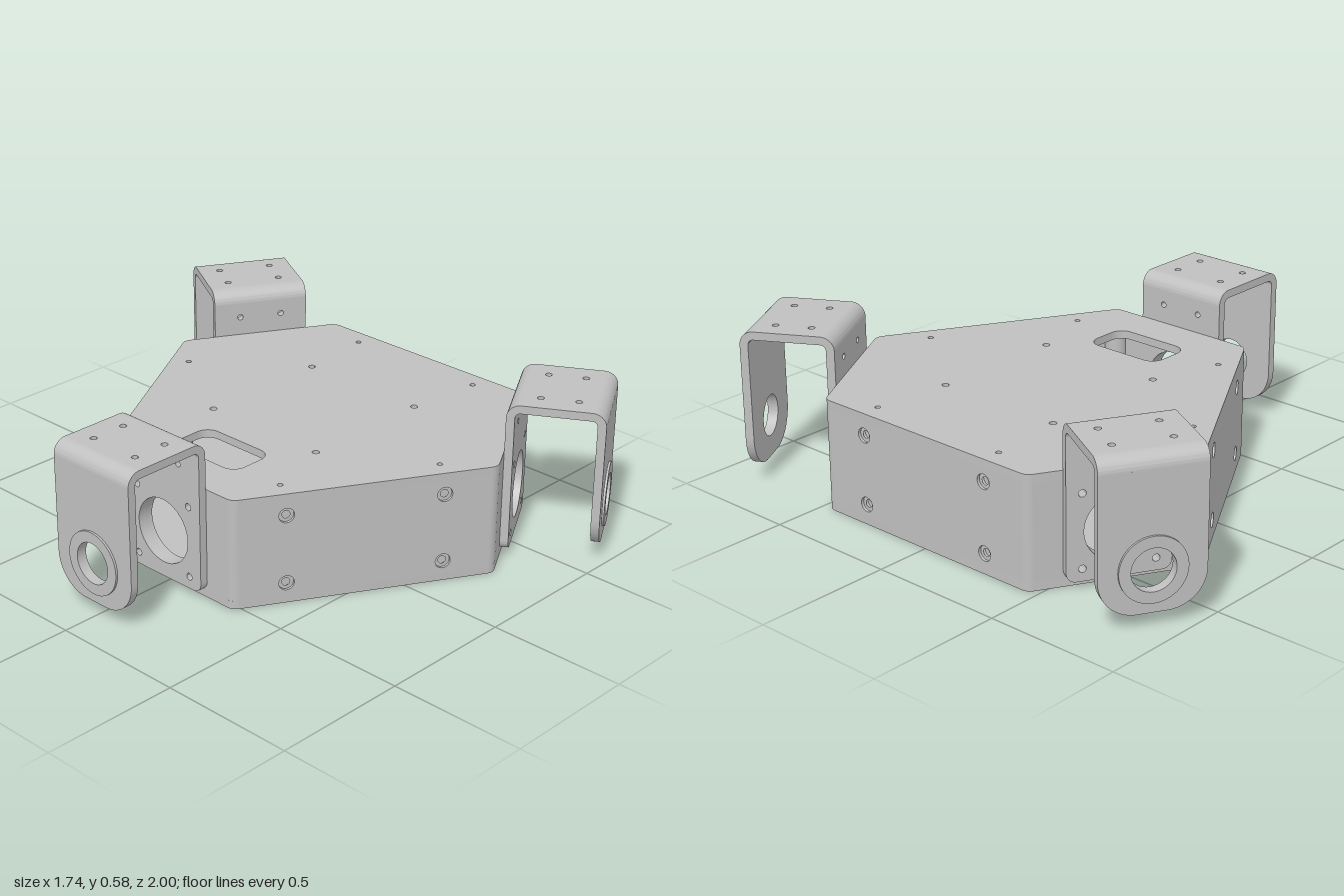
import * as THREE from 'three';
import { toCreasedNormals } from 'three/addons/utils/BufferGeometryUtils.js';

const rad = THREE.MathUtils.degToRad;
const R_SHORT = 0.71, R_LONG = 0.615;         // distances of the six sides from the body centre
const WALL = 0.03, HEIGHT = 0.41, CORNER = 0.04;
const HALF_SHORT = (R_LONG - R_SHORT * 0.5) / Math.sin(rad(60));
const HALF_LONG = (R_SHORT - R_LONG * 0.5) / Math.sin(rad(60));
const SHORT_ANGLES = [-90, 30, 150], LONG_ANGLES = [90, -30, -150];

// Rectangle with separate radii for bottom and top corners
function roundedRect(x0, y0, x1, y1, rb = 0, rt = rb, S = THREE.Shape) {
  const s = new S();
  s.moveTo(x0 + rb, y0);
  s.lineTo(x1 - rb, y0);
  if (rb) s.absarc(x1 - rb, y0 + rb, rb, -Math.PI / 2, 0, false);
  s.lineTo(x1, y1 - rt);
  if (rt) s.absarc(x1 - rt, y1 - rt, rt, 0, Math.PI / 2, false);
  s.lineTo(x0 + rt, y1);
  if (rt) s.absarc(x0 + rt, y1 - rt, rt, Math.PI / 2, Math.PI, false);
  s.lineTo(x0, y0 + rb);
  if (rb) s.absarc(x0 + rb, y0 + rb, rb, Math.PI, Math.PI * 1.5, false);
  return s;
}

function addHole(shape, x, y, r) {
  const p = new THREE.Path();
  p.absarc(x, y, r, 0, Math.PI * 2, true);
  shape.holes.push(p);
}

function extrude(shape, depth) {
  const g = new THREE.ExtrudeGeometry(shape, { depth, bevelEnabled: false, curveSegments: 20 });
  return toCreasedNormals(g, 0.6);
}

// Centres of the six rounded body corners, with their outward directions
function bodyCorners() {
  const list = [];
  for (const a of SHORT_ANGLES) {
    for (const s of [-1, 1]) {
      const mid = rad(a + 30 * s), t = rad(a);
      const vx = R_SHORT * Math.sin(t) + s * HALF_SHORT * Math.cos(t);
      const vz = R_SHORT * Math.cos(t) - s * HALF_SHORT * Math.sin(t);
      const k = CORNER / Math.cos(rad(30));
      list.push({ x: vx - k * Math.sin(mid), z: vz - k * Math.cos(mid), dir: mid });
    }
  }
  return list;
}

// Hexagonal outline; shape y is world -z
function plateShape() {
  const s = new THREE.Shape();
  const corners = bodyCorners();
  for (const c of corners) {
    const mid = c.dir - Math.PI / 2;
    s.absarc(c.x, -c.z, CORNER, mid - rad(30), mid + rad(30), false);
  }
  // Perimeter screw holes near the long sides
  for (const a of LONG_ANGLES) {
    for (const s2 of [-0.28, 0.28]) {
      const t = rad(a), d = 0.545;
      addHole(s, d * Math.sin(t) + s2 * Math.cos(t), -(d * Math.cos(t) - s2 * Math.sin(t)), 0.01);
    }
  }
  return s;
}

export function createModel() {
  const grey = new THREE.MeshStandardMaterial({ color: 0xc0c0c0 });
  grey.name = 'metal grey';
  const model = new THREE.Group();
  model.name = 'threeArmChassis';
  const add = (parent, name, geometry, x = 0, y = 0, z = 0) => {
    const m = new THREE.Mesh(geometry, grey);
    m.name = name;
    m.position.set(x, y, z);
    parent.add(m);
    return m;
  };

  const body = new THREE.Group();
  body.name = 'body';
  body.position.x = 0.185;
  model.add(body);

  // Lid with cable opening and mounting holes
  const lid = plateShape();
  lid.holes.push(roundedRect(-0.555, -0.155, -0.375, 0.155, 0.05, 0.05, THREE.Path));
  for (const x of [-0.255, 0.255]) for (const z of [-0.25, 0.25]) addHole(lid, x, z, 0.013);
  add(body, 'lid', extrude(lid, WALL).rotateX(-Math.PI / 2), 0, HEIGHT - WALL, 0);

  // Floor with connector slot and three small holes
  const floor = plateShape();
  floor.holes.push(roundedRect(0.135, -0.035, 0.195, 0.085, 0, 0, THREE.Path));
  for (const [x, y] of [[0.035, -0.026], [0.025, 0.035], [-0.05, 0.015]]) addHole(floor, x, y, 0.008);
  add(body, 'floor', extrude(floor, WALL).rotateX(-Math.PI / 2));

  // Rounded corner posts
  const postH = HEIGHT - 2 * WALL;
  const postGeo = new THREE.CylinderGeometry(CORNER, CORNER, postH, 36);
  for (const c of bodyCorners()) add(body, 'cornerPost', postGeo, c.x, HEIGHT / 2, c.z);

  const trim = CORNER * Math.tan(rad(30));
  const sideGroup = (name, angle) => {
    const g = new THREE.Group();
    g.name = name;
    g.rotation.y = rad(angle);
    body.add(g);
    return g;
  };

  // Long walls with countersunk screw holes and inner screw rails
  const wl = HALF_LONG - trim;
  const longWall = roundedRect(-wl, WALL, wl, HEIGHT - WALL);
  for (const x of [-0.277, 0.277]) for (const y of [0.075, 0.33]) addHole(longWall, x, y, 0.027);
  const longGeo = extrude(longWall, WALL);
  const seatGeo = new THREE.RingGeometry(0.014, 0.027, 24);
  const railGeo = new THREE.BoxGeometry(0.07, postH, 0.04);
  for (const a of LONG_ANGLES) {
    const side = sideGroup('longSide', a);
    add(side, 'longWall', longGeo, 0, 0, R_LONG - WALL);
    for (const x of [-0.277, 0.277]) {
      add(side, 'screwRail', railGeo, x, HEIGHT / 2, R_LONG - WALL - 0.02);
      for (const y of [0.075, 0.33]) add(side, 'screwSeat', seatGeo, x, y, R_LONG - 0.01);
    }
  }

  // Short wall with motor opening
  const motorHoles = (shape) => {
    addHole(shape, 0, 0.2, 0.12);
    for (const x of [-0.125, 0.125]) for (const y of [0.07, 0.335]) addHole(shape, x, y, 0.013);
  };
  const ws = HALF_SHORT - trim;
  const shortWall = roundedRect(-ws, WALL, ws, HEIGHT - WALL);
  motorHoles(shortWall);
  const shortGeo = extrude(shortWall, WALL);

  // Bracket pieces: inner flange, outer flange, bends, top plate, bearing ring
  const W = 0.18, T = 0.03, BEND = 0.05, TOP = 0.585, OUT = 1.05;
  const bendY = TOP - BEND;
  const inner = roundedRect(-W, 0.025, W, bendY, 0.035, 0);
  motorHoles(inner);
  for (const x of [-0.08, 0.08]) addHole(inner, x, 0.48, 0.011);
  const innerGeo = extrude(inner, T);

  const outer = roundedRect(-W, 0.05, W, bendY, 0.13, 0);
  addHole(outer, 0, 0.2, 0.075);
  const outerGeo = extrude(outer, T);

  const ring = new THREE.Shape();
  ring.absarc(0, 0.2, 0.115, 0, Math.PI * 2, false);
  addHole(ring, 0, 0.2, 0.075);
  const ringGeo = extrude(ring, 0.008);

  const zIn = R_SHORT + BEND, zOut = OUT - BEND, zMid = (zIn + zOut) / 2;
  const top = roundedRect(-W, -zOut, W, -zIn);
  for (const x of [-0.1, 0.1]) for (const d of [-0.065, 0.065]) addHole(top, x, -zMid + d, 0.012);
  const topGeo = extrude(top, T).rotateX(-Math.PI / 2);

  const bendGeo = (z, start) => {
    const s = new THREE.Shape();
    s.absarc(z, bendY, BEND, start, start + Math.PI / 2, false);
    s.absarc(z, bendY, BEND - T, start + Math.PI / 2, start, true);
    return extrude(s, 2 * W).rotateY(-Math.PI / 2).translate(W, 0, 0);
  };
  const bendIn = bendGeo(zIn, Math.PI / 2), bendOut = bendGeo(zOut, 0);

  for (const a of SHORT_ANGLES) {
    const side = sideGroup('shortSide', a);
    add(side, 'shortWall', shortGeo, 0, 0, R_SHORT - WALL);
    const bracket = new THREE.Group();
    bracket.name = 'bracket';
    side.add(bracket);
    add(bracket, 'innerFlange', innerGeo, 0, 0, R_SHORT);
    add(bracket, 'outerFlange', outerGeo, 0, 0, OUT - T);
    add(bracket, 'bearingRing', ringGeo, 0, 0, OUT);
    add(bracket, 'topPlate', topGeo, 0, TOP - T, 0);
    add(bracket, 'innerBend', bendIn);
    add(bracket, 'outerBend', bendOut);
  }
  return model;
}
